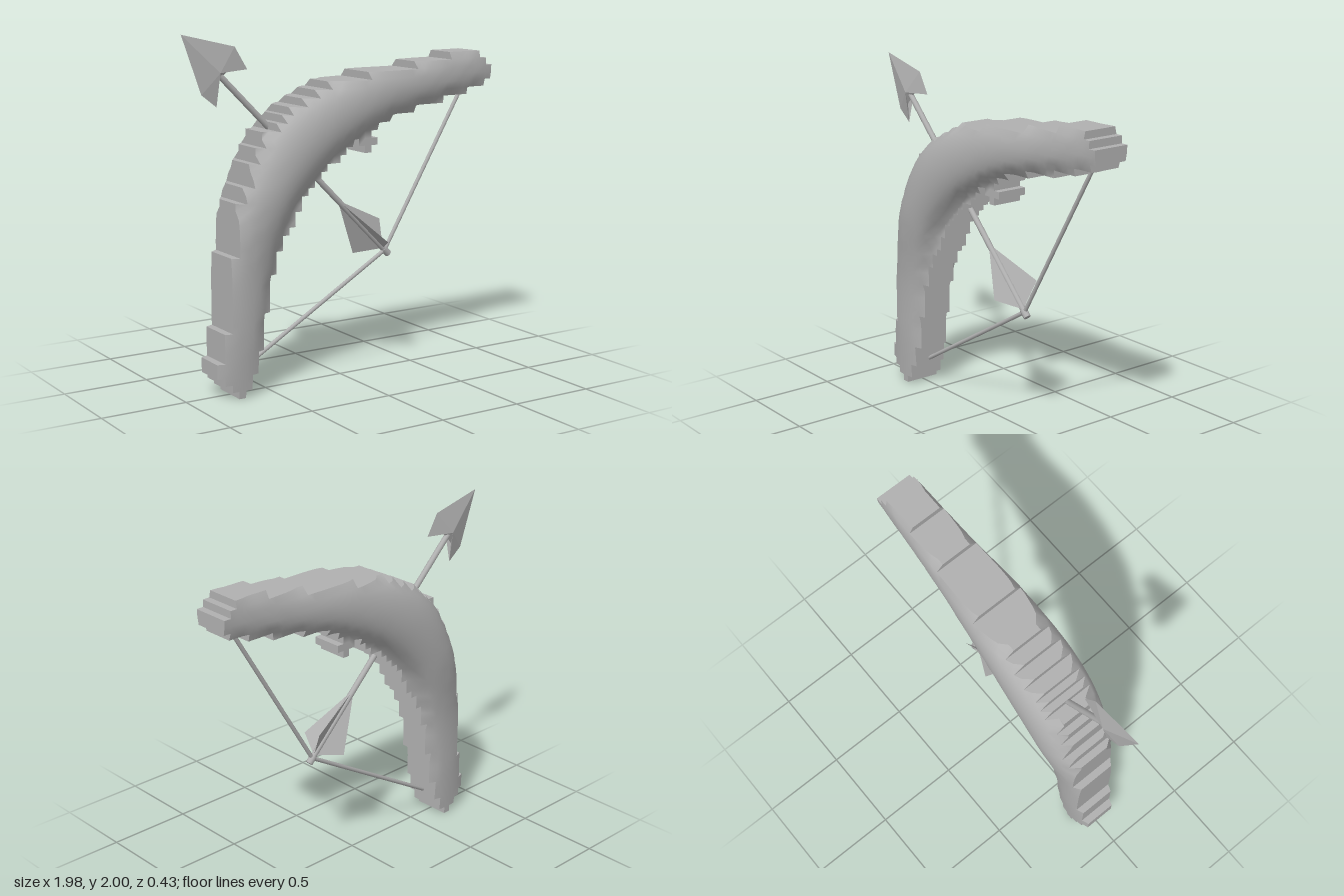
import * as THREE from 'three';

const grey = new THREE.MeshStandardMaterial({ color: 0xb0b0b0 });
grey.name = 'grey';
const greyThin = grey.clone();
greyThin.side = THREE.DoubleSide;

// Bow silhouette on a 44 x 44 cell grid: first and last column of each row, bottom up
const CELL = 1.843 / 44, X0 = -0.853;
const runs = (list) => list.flatMap(([n, v]) => Array(n).fill(v));
const first = runs([[1, 3], [1, 2], [1, 1], [2, 0], [4, 1], [10, 2], [7, 3], [2, 4], [3, 5], [2, 6], [2, 7],
  [1, 9], [1, 10], [1, 11], [1, 13], [1, 15], [1, 17], [1, 23], [1, 31], [1, 37]]);
const last = runs([[1, 4], [2, 5], [3, 6], [5, 7], [5, 8], [3, 9], [2, 10], [1, 11], [2, 12], [2, 13], [1, 14],
  [1, 15], [1, 16], [1, 17], [1, 19], [1, 20], [1, 21], [1, 24], [1, 25], [1, 27], [1, 31], [1, 36], [1, 40],
  [1, 43], [2, 44], [1, 43], [1, 42]]);
// small jagged lump on the inner edge of the grip
const lump = (i, j) => (j === 32 && i >= 22 && i < 25) || (j === 31 && i === 23);
const filled = (i, j) => j >= 0 && j < 44 && ((i >= first[j] && i < last[j]) || lump(i, j));

// Centre line stations: x, y, half depth, half width
const stations = [
  [-0.72, 0.02, 0.11, 0.12], [-0.70, 0.3, 0.128, 0.125], [-0.65, 0.7, 0.147, 0.14], [-0.53, 1.1, 0.203, 0.17],
  [-0.3, 1.4, 0.216, 0.2], [0.1, 1.6, 0.19, 0.165], [0.5, 1.68, 0.148, 0.12], [0.97, 1.76, 0.112, 0.1]];
const spine = new THREE.CatmullRomCurve3(stations.map(([x, y, d]) => new THREE.Vector3(x, y, d)));
const widths = new THREE.CatmullRomCurve3(stations.map((s, k) => new THREE.Vector3(s[3], k, 0)));
const samples = Array.from({ length: 141 }, (_, k) => ({ p: spine.getPoint(k / 140), w: widths.getPoint(k / 140).x }));

// Rounded half depth of the bow at a point
function halfDepth(x, y) {
  let best = 1e9, near = samples[0];
  for (const s of samples) {
    const d = Math.hypot(x - s.p.x, y - s.p.y);
    if (d < best) { best = d; near = s; }
  }
  const edge = 0.092;
  return edge + Math.max(0, near.p.z - edge) * Math.sqrt(Math.max(0, 1 - (best / near.w) ** 2));
}

function makeMesh(name, positions, index, material = grey) {
  const g = new THREE.BufferGeometry();
  g.setAttribute('position', new THREE.Float32BufferAttribute(positions, 3));
  if (index) g.setIndex(index);
  g.computeVertexNormals();
  const m = new THREE.Mesh(g, material);
  m.name = name;
  return m;
}

function makeBow() {
  const bow = new THREE.Group();
  bow.name = 'bow';
  const corners = [[0, 0], [1, 0], [1, 1], [0, 1]];
  const sides = [[0, -1], [1, 0], [0, 1], [-1, 0]];
  const ids = new Map(), points = [], faces = [], walls = [];
  const vertex = (i, j) => {
    const key = i + j * 100;
    if (!ids.has(key)) {
      const x = X0 + i * CELL, y = j * CELL;
      ids.set(key, points.length);
      points.push([x, y, halfDepth(x, y)]);
    }
    return ids.get(key);
  };
  for (let j = 0; j < 44; j++) for (let i = 0; i < 44; i++) {
    if (!filled(i, j)) continue;
    const q = corners.map(([a, b]) => vertex(i + a, j + b));
    faces.push(q[0], q[1], q[2], q[0], q[2], q[3]);
    sides.forEach(([dx, dy], k) => {
      if (filled(i + dx, j + dy)) return;
      const [ax, ay, az] = points[q[k]], [bx, by, bz] = points[q[(k + 1) % 4]];
      walls.push(ax, ay, -az, bx, by, -bz, bx, by, bz, ax, ay, -az, bx, by, bz, ax, ay, az);
    });
  }
  bow.add(makeMesh('bowFront', points.flat(), faces));
  bow.add(makeMesh('bowBack', points.flatMap(([x, y, z]) => [x, y, -z]), [...faces].reverse()));
  bow.add(makeMesh('bowSteppedEdge', walls));
  return bow;
}

// Straight round rod between two points
function rod(name, a, b, radius) {
  const from = new THREE.Vector3(...a, 0), dir = new THREE.Vector3(...b, 0).sub(from);
  const m = new THREE.Mesh(new THREE.CylinderGeometry(radius, radius, dir.length(), 10), grey);
  m.position.copy(from).addScaledVector(dir, 0.5);
  m.quaternion.setFromUnitVectors(new THREE.Vector3(0, 1, 0), dir.normalize());
  m.name = name;
  return m;
}

// Barbed, flat-faced arrowhead: a rim with a raised ridge point on each side
function makeHead() {
  const rim = [[-0.99, 2], [-0.875, 1.675], [-0.785, 1.605], [-0.795, 1.715], [-0.75, 1.765], [-0.7, 1.81],
    [-0.595, 1.8], [-0.67, 1.925]];
  const pos = [];
  rim.forEach((a, k) => {
    const b = rim[(k + 1) % rim.length];
    pos.push(...a, 0, ...b, 0, -0.775, 1.79, 0.032);
    pos.push(...b, 0, ...a, 0, -0.775, 1.79, -0.032);
  });
  return makeMesh('arrowHead', pos);
}

export function createModel() {
  const model = new THREE.Group();
  model.name = 'bowAndArrow';
  model.add(makeBow());

  // drawn string
  const nock = [0.31, 0.7];
  model.add(rod('lowerString', [-0.67, 0.12], nock, 0.012));
  model.add(rod('upperString', nock, [0.895, 1.69], 0.012));

  // arrow
  model.add(rod('arrowShaft', [0.33, 0.68], [-0.77, 1.78], 0.017));
  model.add(rod('arrowNock', [0.335, 0.675], [0.3, 0.71], 0.021));
  model.add(makeHead());

  // three feathers around the shaft
  const feathers = new THREE.Group();
  feathers.name = 'feathers';
  feathers.position.set(0.33, 0.68, 0);
  feathers.rotation.z = Math.PI / 4;
  for (const deg of [30, 150, 270]) {
    const f = makeMesh('feather', [0, 0.046, 0, 0.152, 0.141, 0, 0, 0.488, 0], null, greyThin);
    f.rotation.y = THREE.MathUtils.degToRad(deg);
    feathers.add(f);
  }
  model.add(feathers);
  return model;
}
